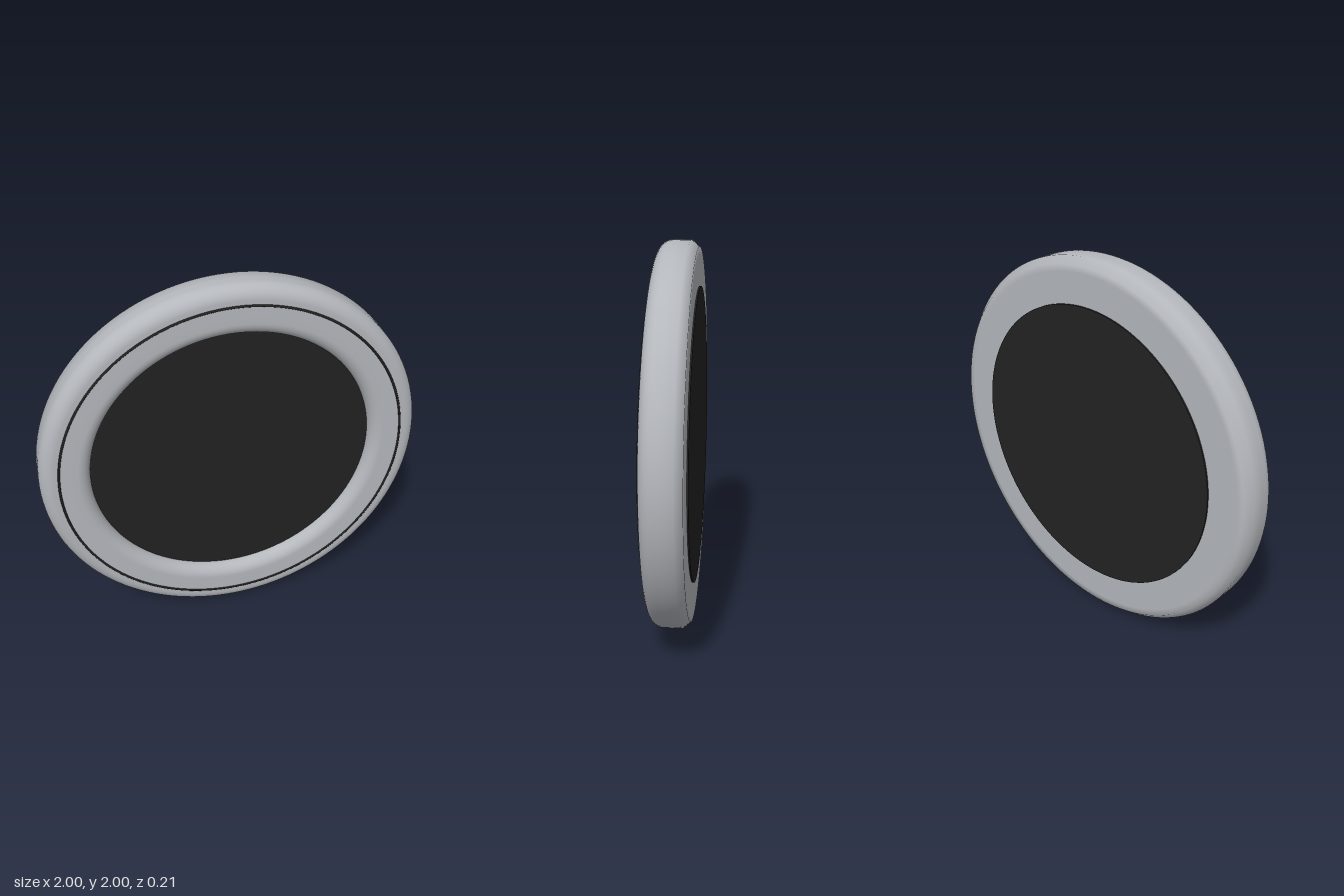
import * as THREE from 'three';

const SEG = 128;

export function createModel() {
  const model = new THREE.Group();
  const puck = new THREE.Group();
  puck.name = 'puck';
  puck.position.y = 1;
  model.add(puck);

  const shell = new THREE.MeshStandardMaterial({ color: 0xb4b7bc });
  const dark = new THREE.MeshStandardMaterial({ color: 0x222222 });

  // Everything is turned about the z axis: profile points are [radius, z].
  const turned = (name, profile, material) => {
    const geometry = new THREE.LatheGeometry(profile.map(([r, z]) => new THREE.Vector2(r, z)), SEG);
    geometry.rotateX(Math.PI / 2);
    const mesh = new THREE.Mesh(geometry, material);
    mesh.name = name;
    puck.add(mesh);
    return mesh;
  };

  // Quarter-ellipse rounding between two directions, in degrees
  const arc = (r, z, radiusR, radiusZ, from, to, steps) =>
    Array.from({ length: steps + 1 }, (_, i) => {
      const a = THREE.MathUtils.degToRad(from + (to - from) * i / steps);
      return [r + radiusR * Math.cos(a), z + radiusZ * Math.sin(a)];
    });

  // Ring body: chamfered back edge, rounded front edge, rounded lip into the recess
  turned('body', [
    [0.74, -0.1], [0.93, -0.1], [0.965, -0.1], [1, -0.06], [1, 0],
    ...arc(0.93, 0.03, 0.07, 0.07, 0, 90, 8),
    [0.9, 0.1], [0.84, 0.1],
    ...arc(0.81, 0.04, 0.068, 0.06, 90, 180, 8),
    [0.742, 0.02],
  ], shell);

  // Recessed front face
  const face = new THREE.Mesh(new THREE.CircleGeometry(0.745, SEG), dark);
  face.name = 'frontPanel';
  face.position.z = 0.04;
  puck.add(face);

  // Thin inlaid line around the front
  const line = new THREE.Mesh(new THREE.TorusGeometry(0.904, 0.006, 8, SEG), dark);
  line.name = 'frontInlay';
  line.position.z = 0.1;
  puck.add(line);

  // Raised pad on the back
  const pad = new THREE.Mesh(new THREE.CylinderGeometry(0.768, 0.768, 0.02, SEG), dark);
  pad.name = 'backPad';
  pad.rotation.x = Math.PI / 2;
  pad.position.z = -0.098;
  puck.add(pad);

  return model;
}
